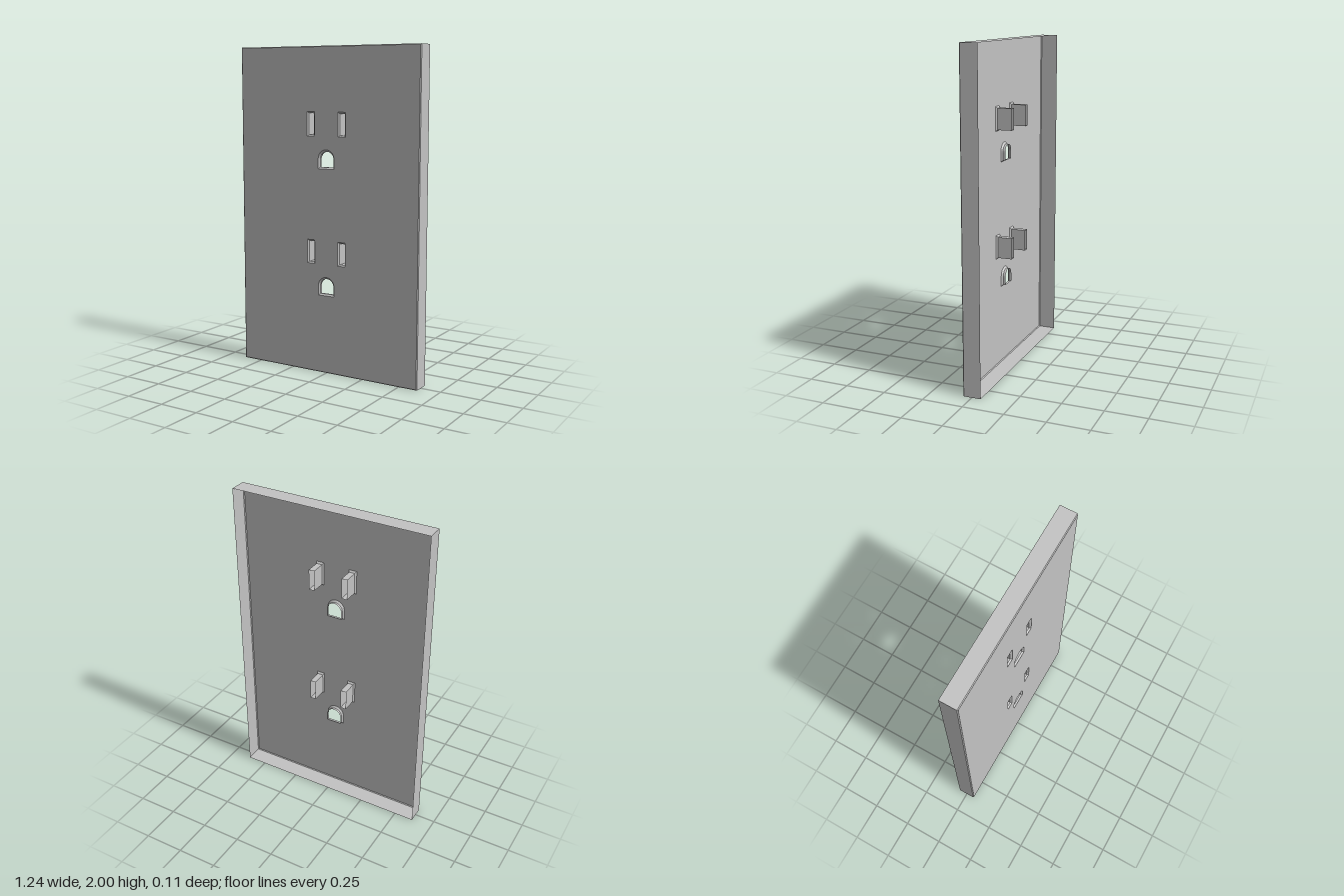
import * as THREE from 'three';

const W = 0.622, H = 2, FRONT = 0.055, BACK = -0.055;

// Counter-clockwise rectangle outline
const rect = (x0, y0, x1, y1) => [[x0, y0], [x1, y0], [x1, y1], [x0, y1]];

// Flat-bottomed outline with a round top
function arch(r, y0, y1) {
  const pts = [[-r, y0], [r, y0]];
  for (let i = 0; i <= 16; i++) {
    const a = Math.PI * i / 16;
    pts.push([r * Math.cos(a), y1 - r + r * Math.sin(a)]);
  }
  return pts;
}

// Open strip of flat faces joining outlines [points, z], front to back
function loft(rings) {
  const pos = [];
  for (let k = 0; k + 1 < rings.length; k++) {
    const [a, za] = rings[k], [b, zb] = rings[k + 1];
    a.forEach((p, i) => {
      const j = (i + 1) % a.length;
      pos.push(...p, za, ...b[i], zb, ...b[j], zb);
      pos.push(...p, za, ...b[j], zb, ...a[j], za);
    });
  }
  const geo = new THREE.BufferGeometry();
  geo.setAttribute('position', new THREE.Float32BufferAttribute(pos, 3));
  geo.computeVertexNormals();
  return geo;
}

export function createModel() {
  const group = new THREE.Group();
  const plastic = new THREE.MeshStandardMaterial({ color: 0xc3c3c3, side: THREE.DoubleSide });
  plastic.name = 'grey plastic';
  const add = (name, geo) => {
    const mesh = new THREE.Mesh(geo, plastic);
    mesh.name = name;
    group.add(mesh);
  };
  const toVectors = pts => pts.map(p => new THREE.Vector2(...p));

  // Openings: mouth at the face, narrower throat, rear depth
  const openings = [];
  for (const y of [0, 0.78]) {
    for (const s of [-1, 1]) {
      const x = s * 0.108;
      openings.push({
        name: 'bladeSlot', end: -0.045,
        mouth: rect(x - 0.026, y + 0.685, x + 0.026, y + 0.832),
        throat: rect(x - 0.018, y + 0.693, x + 0.018, y + 0.822),
      });
    }
    openings.push({
      name: 'groundHole', end: 0.03,
      mouth: arch(0.056, y + 0.49, y + 0.606),
      throat: arch(0.047, y + 0.5, y + 0.594),
    });
  }

  // Front face with the openings cut through
  const bevel = 0.005;
  const face = new THREE.Shape(toVectors(rect(-W + bevel, bevel, W - bevel, H - bevel)));
  for (const o of openings) face.holes.push(new THREE.Path(toVectors(o.mouth)));
  add('frontPlate', new THREE.ShapeGeometry(face).translate(0, 0, FRONT));

  // Thin rim around the open back
  const edge = rect(-W, 0, W, H);
  add('rim', loft([
    [rect(-W + bevel, bevel, W - bevel, H - bevel), FRONT],
    [edge, FRONT - bevel],
    [edge, BACK],
  ]));

  // Sleeves running back from each opening
  for (const o of openings) {
    const mouth = [...o.mouth].reverse(), throat = [...o.throat].reverse();
    add(o.name, loft([[mouth, FRONT], [throat, FRONT - 0.01], [throat, o.end]]));
  }
  return group;
}
